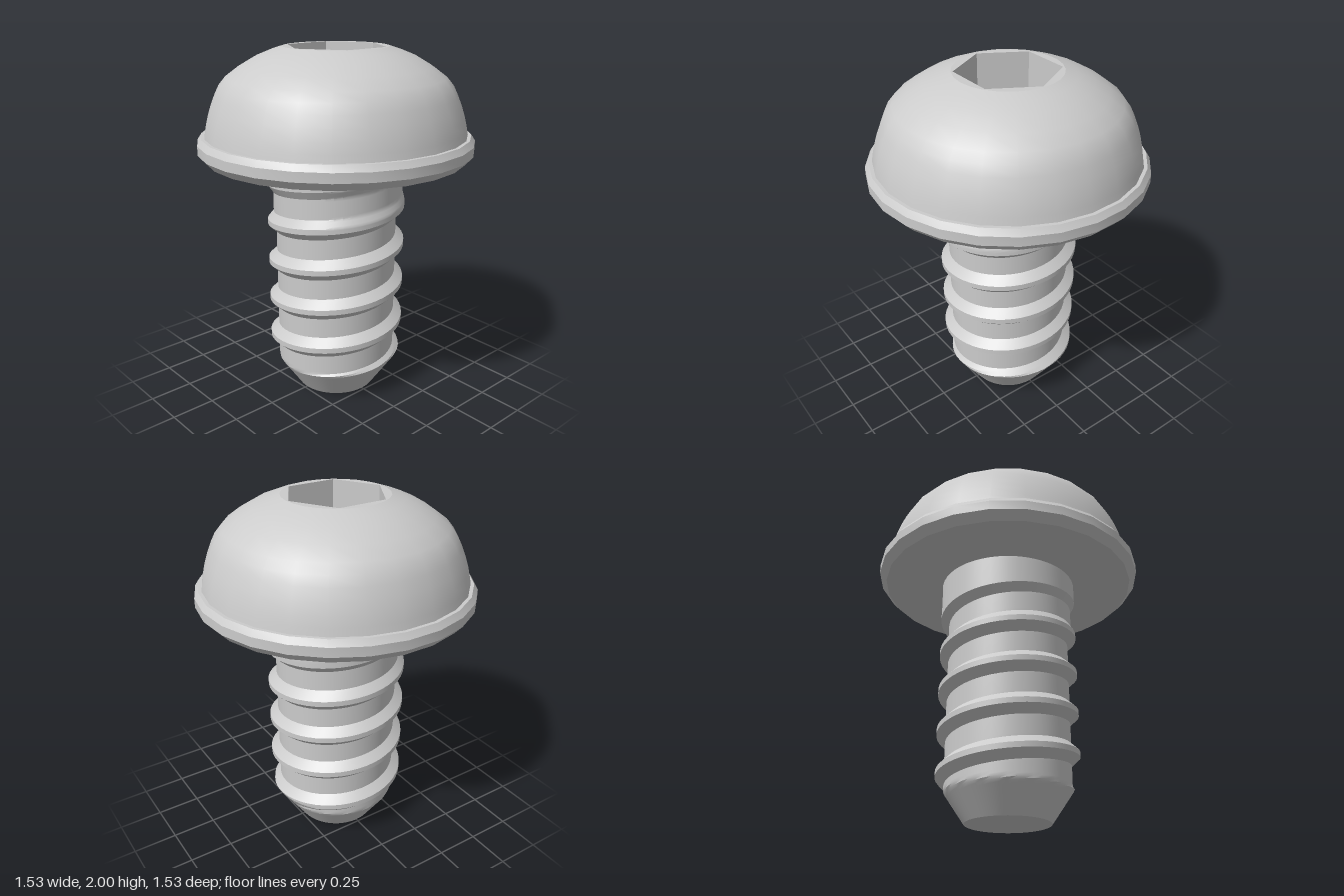
import * as THREE from 'three';
import { toCreasedNormals } from 'three/addons/utils/BufferGeometryUtils.js';

const SIDES = 25;          // sides of the head
const COLUMNS = 50;        // columns around the shank
const PITCH = 0.235;
const CREST_R = 0.393, ROOT_R = 0.345, TIP_R = 0.233;
const SHANK_TOP = 1.4;
const CREST_HALF = 0.015, FLANK = 0.045;
const clamp = THREE.MathUtils.clamp;
const material = new THREE.MeshStandardMaterial({ color: 0xcccccc });

function part(name, geometry) {
  const mesh = new THREE.Mesh(geometry, material);
  mesh.name = name;
  return mesh;
}

function polygon(radius, sides, start = 0) {
  return Array.from({ length: sides }, (_, i) => {
    const a = start + (i / sides) * Math.PI * 2;
    return new THREE.Vector2(radius * Math.cos(a), radius * Math.sin(a));
  });
}

// Domed head with a bevelled flange, from the underside up
function headGeometry() {
  const flange = [[0.3, 1.4], [0.727, 1.4], [0.768, 1.445], [0.768, 1.497], [0.746, 1.53]];
  const dome = [[0.727, 1.53], [0.706, 1.625], [0.662, 1.745], [0.6, 1.84], [0.44, 1.945], [0.29, 2]];
  const curve = new THREE.SplineCurve(dome.map(p => new THREE.Vector2(...p)));
  const profile = [...flange.map(p => new THREE.Vector2(...p)), ...curve.getPoints(10)];
  return toCreasedNormals(new THREE.LatheGeometry(profile, SIDES, Math.PI / 2), 0.5);
}

// Flat crown pierced by the hexagonal socket
function socketGeometry(depth) {
  const shape = new THREE.Shape(polygon(0.29, SIDES));
  shape.holes.push(new THREE.Path(polygon(0.28, 6, Math.PI / 2)));
  return new THREE.ExtrudeGeometry(shape, { depth, bevelEnabled: false })
    .rotateX(-Math.PI / 2).translate(0, 2 - depth, 0);
}

// Radius of the shank, t above the crest at height crestY
function shankRadius(y, t, crestY) {
  const grooveY = crestY + Math.sign(t) * PITCH / 2;
  const fade = clamp((1.32 - grooveY) / 0.25, 0, 1);      // thread runs out near the head
  const cut = clamp((Math.abs(t) - CREST_HALF) / FLANK, 0, 1) * (CREST_R - ROOT_R) * fade;
  return Math.min(CREST_R - cut, TIP_R + 0.68 * y);       // tapered tip
}

// Threaded shank: rows of vertices follow the helix
function shankGeometry() {
  const stops = [-PITCH / 2, -CREST_HALF - FLANK, -CREST_HALF, CREST_HALF, CREST_HALF + FLANK, PITCH / 2];
  const offsets = [];
  for (let s = 0; s < stops.length - 1; s++) {
    for (let n = 0; n < 4; n++) offsets.push(THREE.MathUtils.lerp(stops[s], stops[s + 1], n / 4));
  }
  const rows = [];
  for (let turn = -3; turn <= 5; turn++) {
    for (const t of offsets) rows.push({ t, crest: 0.4 + turn * PITCH });
  }
  const positions = [], index = [], heights = [];
  for (let i = 0; i <= COLUMNS; i++) {
    const a = (i / COLUMNS) * Math.PI * 2;
    for (const row of rows) {
      const crestY = row.crest + PITCH * i / COLUMNS;
      const y = clamp(crestY + row.t, 0, SHANK_TOP);
      const t = clamp(y - crestY, -PITCH / 2, PITCH / 2);
      const r = shankRadius(y, t, crestY);
      positions.push(r * Math.cos(a), y, -r * Math.sin(a));
      heights.push(y);
    }
  }
  const n = rows.length;
  for (let i = 0; i < COLUMNS; i++) {
    for (let j = 0; j < n - 1; j++) {
      const a = i * n + j, b = a + n, c = b + 1, d = a + 1;
      if (heights[b] < heights[c]) index.push(a, b, c);
      if (heights[a] < heights[d]) index.push(a, c, d);
    }
  }
  const geometry = new THREE.BufferGeometry();
  geometry.setAttribute('position', new THREE.Float32BufferAttribute(positions, 3));
  geometry.setIndex(index);
  return toCreasedNormals(geometry, 0.5);
}

export function createModel() {
  const model = new THREE.Group();
  model.name = 'screw';
  const depth = 0.36;
  model.add(part('head', headGeometry()));
  model.add(part('hexSocket', socketGeometry(depth)));
  model.add(part('socketFloor',
    new THREE.CircleGeometry(0.285, 24).rotateX(-Math.PI / 2).translate(0, 2 - depth + 0.002, 0)));
  model.add(part('threadedShank', shankGeometry()));
  model.add(part('tipFace', new THREE.CircleGeometry(TIP_R, COLUMNS).rotateX(Math.PI / 2)));
  return model;
}
